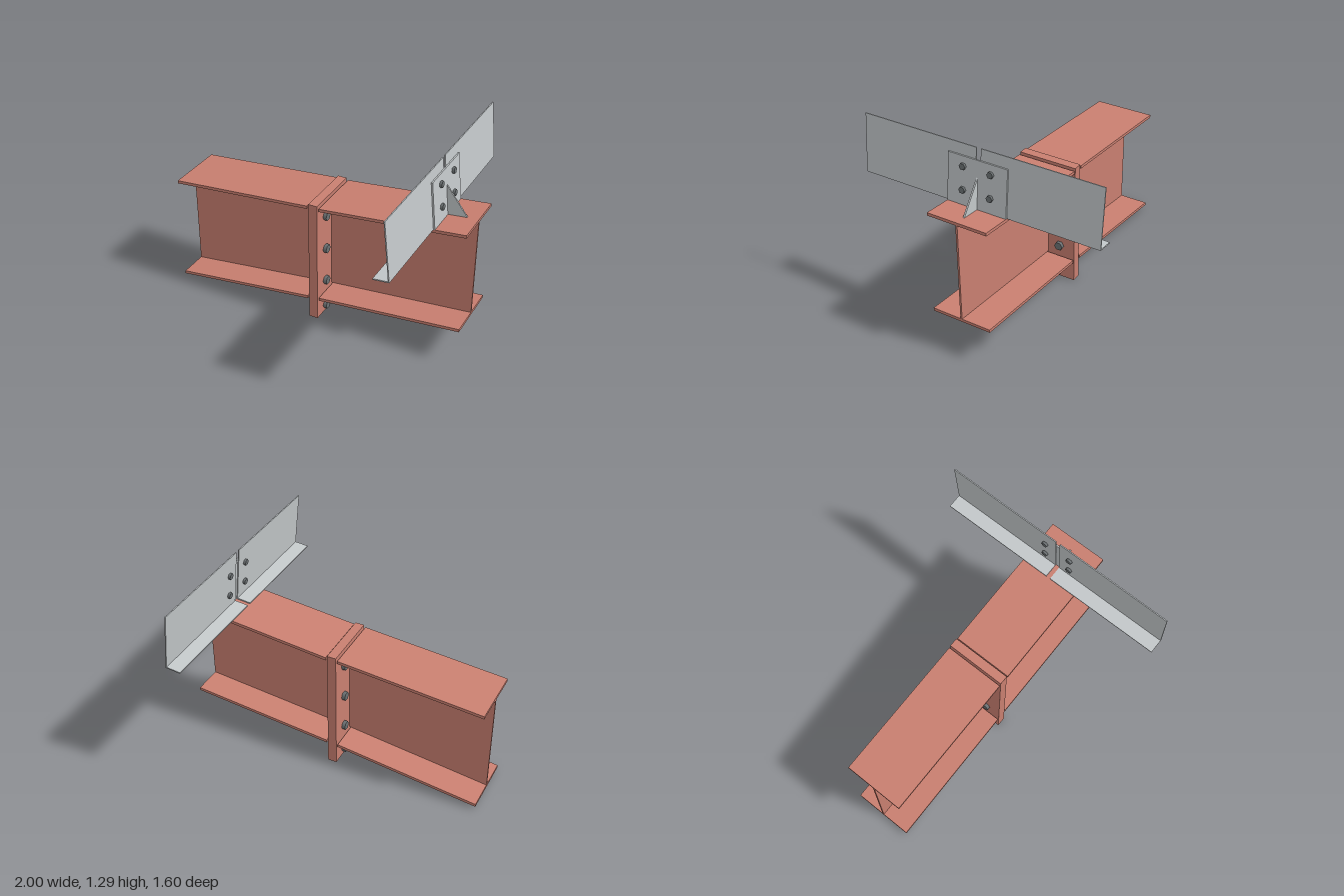
import * as THREE from 'three';

const material = (name, color) => {
  const m = new THREE.MeshStandardMaterial({ color });
  m.name = name;
  return m;
};

export function createModel() {
  const red = material('red primer', 0xc97f70);
  const zinc = material('galvanised grey', 0xc3c8ca);
  const dark = material('bolt grey', 0x6c7173);
  const model = new THREE.Group();

  // Plate with an outline in x/y, extruded from z0 to z1
  function plate(name, points, z0, z1, mat, parent = model) {
    const shape = new THREE.Shape(points.map(([x, y]) => new THREE.Vector2(x, y)));
    const geo = new THREE.ExtrudeGeometry(shape, { depth: z1 - z0, bevelEnabled: false });
    geo.translate(0, 0, z0);
    const mesh = new THREE.Mesh(geo, mat);
    mesh.name = name;
    parent.add(mesh);
  }

  // Hexagonal bolt along x: two heads and a shank
  function bolt(name, x, y, z, radius, reach, headLength, parent) {
    const group = new THREE.Group();
    group.name = name;
    const add = (r, length, sides, offset) => {
      const mesh = new THREE.Mesh(new THREE.CylinderGeometry(r, r, length, sides), dark);
      mesh.rotation.z = -Math.PI / 2;
      mesh.position.x = offset;
      group.add(mesh);
    };
    add(radius, headLength, 6, reach - headLength / 2);
    add(radius, headLength, 6, headLength / 2 - reach);
    add(radius * 0.5, 2 * (reach - headLength), 12, 0);
    group.position.set(x, y, z);
    parent.add(group);
  }

  // Tapered I-beams, one either side of the joint
  const flange = 0.02, halfWidth = 0.2;
  const beams = [
    { name: 'rightBeam', side: -1, topIn: 0.835, topOut: 0.755, lowIn: 0.137, lowOut: 0.02 },
    { name: 'leftBeam', side: 1, topIn: 0.836, topOut: 0.935, lowIn: 0.145, lowOut: 0.24 },
  ];
  for (const { name, side, topIn, topOut, lowIn, lowOut } of beams) {
    const beam = new THREE.Group();
    beam.name = name;
    const a = side * 0.04, b = side;
    plate('topFlange', [[a, topIn - flange], [b, topOut - flange], [b, topOut], [a, topIn]],
      -halfWidth, halfWidth, red, beam);
    plate('bottomFlange', [[a, lowIn], [b, lowOut], [b, lowOut + flange], [a, lowIn + flange]],
      -halfWidth, halfWidth, red, beam);
    plate('web', [[side * 0.03, lowIn + flange], [b, lowOut + flange], [b, topOut - flange], [side * 0.03, topIn - flange]],
      -0.006, 0.006, red, beam);
    plate('endPlate', [[0, 0], [side * 0.03, 0], [side * 0.03, 0.85], [0, 0.85]],
      -halfWidth, halfWidth, red, beam);
    model.add(beam);
  }

  // Joint bolts
  for (const y of [0.05, 0.243, 0.487, 0.73])
    for (const z of [-0.093, 0.093]) bolt('jointBolt', 0, y, z, 0.03, 0.053, 0.023, model);

  // Purlin joint, built upright on the sloping top flange
  const purlin = new THREE.Group();
  purlin.name = 'purlinJoint';
  purlin.position.set(0.795, 0.914, 0);
  purlin.rotation.z = Math.atan(0.1);
  model.add(purlin);

  // Two L-shaped purlins with a gap between them
  const angle = [[-0.1, 0], [0, 0], [0, 0.38], [-0.007, 0.38], [-0.007, 0.008], [-0.1, 0.008]];
  plate('leftPurlin', angle, 0.015, 0.8, zinc, purlin);
  plate('rightPurlin', angle, -0.8, -0.015, zinc, purlin);

  // Cleat, stiffened by a triangular gusset
  plate('cleat', [[0, 0], [0.01, 0], [0.01, 0.308], [0, 0.308]], -0.2, 0.2, zinc, purlin);
  plate('gusset', [[0.01, 0], [0.133, 0], [0.01, 0.2]], -0.005, 0.005, zinc, purlin);

  // Cleat bolts
  for (const y of [0.099, 0.247])
    for (const z of [-0.093, 0.093]) bolt('cleatBolt', 0.002, y, z, 0.021, 0.025, 0.016, purlin);

  return model;
}
